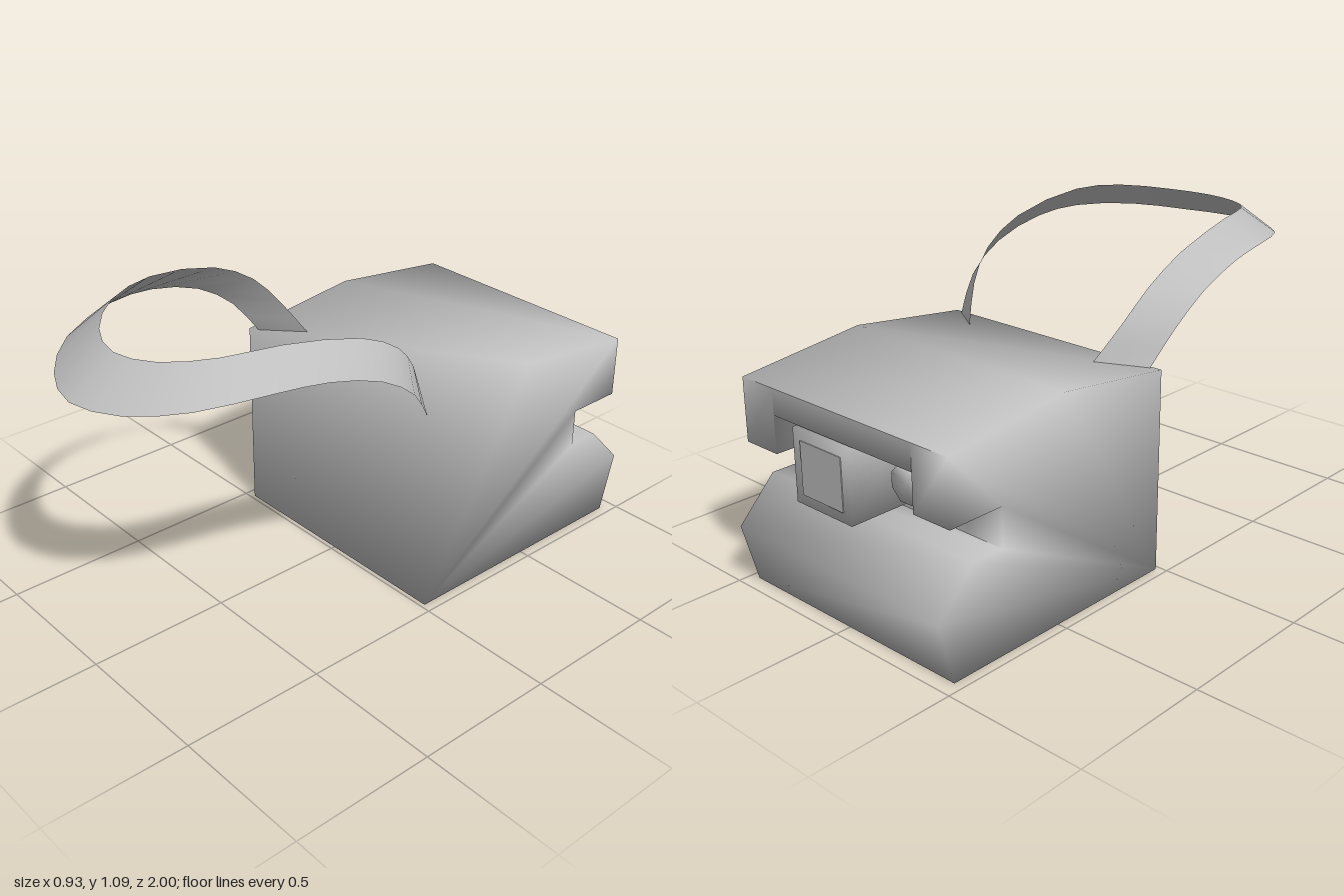
import * as THREE from 'three';
import { mergeVertices } from 'three/addons/utils/BufferGeometryUtils.js';

const grey = new THREE.MeshStandardMaterial({ color: 0xbfbfbf, side: THREE.DoubleSide });
grey.name = 'plain grey';

// Weld shared corners so that shading runs smoothly across the edges
function smooth(geometry) {
  geometry.deleteAttribute('uv');
  geometry.deleteAttribute('normal');
  const welded = mergeVertices(geometry, 1e-4);
  welded.computeVertexNormals();
  return welded;
}

function addMesh(parent, name, geometry, x = 0, y = 0, z = 0) {
  const mesh = new THREE.Mesh(geometry, grey);
  mesh.name = name;
  mesh.position.set(x, y, z);
  parent.add(mesh);
  return mesh;
}

// Case: side profile [z, y] swept across x, with a raised opening at the back
function bodyGeometry() {
  const half = 0.465, open = 0.315;
  const side = [
    [-0.015, 0], [-0.015, 0.71], [-0.475, 0.765], [-0.945, 0.71], [-0.945, 0.49],
    [-0.74, 0.49], [-0.74, 0.355], [-0.86, 0.355], [-1, 0.21], [-0.945, 0],
  ];
  const middle = side.map(([z, y], i) => [z, i === 4 || i === 5 ? 0.62 : y]);
  const section = (profile, x) => profile.map(([z, y]) => [x, y, z]);
  const sections = [
    section(side, -half), section(side, -open), section(middle, -open),
    section(middle, open), section(side, open), section(side, half),
  ];
  const first = sections[0], last = sections[5];
  const pos = [];
  const tri = (a, b, c) => pos.push(...a, ...b, ...c);
  const strip = (p, q, i) => {
    const j = (i + 1) % side.length;
    tri(p[i], q[i], q[j]);
    tri(p[i], q[j], p[j]);
  };
  for (let i = 0; i < side.length; i++) {
    if (i < 3 || i > 5) {
      strip(first, last, i);
      continue;
    }
    for (let s = 0; s < 5; s++) {
      const flatStep = s === 1 || s === 3;
      if (!flatStep || i === 4) strip(sections[s], sections[s + 1], i);
    }
  }
  // Side walls fan out from the lower front corner
  const caps = [[0, 1, 2], [0, 2, 3], [0, 3, 5], [3, 4, 5], [0, 5, 6], [0, 6, 7], [0, 7, 8], [0, 8, 9]];
  for (const [a, b, c] of caps) {
    tri(first[a], first[b], first[c]);
    tri(last[a], last[c], last[b]);
  }
  const g = new THREE.BufferGeometry();
  g.setAttribute('position', new THREE.Float32BufferAttribute(pos, 3));
  return smooth(g);
}

// Strap: ribbon between two mirrored edge curves
function strapGeometry() {
  const edge = (points) => {
    const right = points.map((p) => new THREE.Vector3(...p));
    const left = right.slice(0, -1).reverse().map((p) => new THREE.Vector3(-p.x, p.y, p.z));
    return new THREE.CatmullRomCurve3([...right, ...left]);
  };
  const outer = edge([
    [0.43, 0.71, -0.03], [0.46, 0.83, 0.06], [0.465, 0.925, 0.2], [0.45, 0.985, 0.4],
    [0.42, 0.998, 0.58], [0.33, 0.98, 0.8], [0.18, 0.957, 0.94], [0, 0.95, 1],
  ]);
  const inner = edge([
    [0.28, 0.72, -0.135], [0.335, 0.845, -0.055], [0.362, 0.95, 0.04], [0.366, 1.035, 0.2],
    [0.335, 1.09, 0.48], [0.275, 1.085, 0.66], [0.15, 1.067, 0.79], [0, 1.06, 0.84],
  ]);
  const n = 28, pos = [], index = [];
  for (let i = 0; i <= n; i++) {
    pos.push(...outer.getPoint(i / n).toArray(), ...inner.getPoint(i / n).toArray());
    if (i < n) {
      const a = i * 2;
      index.push(a, a + 1, a + 3, a, a + 3, a + 2);
    }
  }
  const g = new THREE.BufferGeometry();
  g.setAttribute('position', new THREE.Float32BufferAttribute(pos, 3));
  g.setIndex(index);
  g.computeVertexNormals();
  return g;
}

export function createModel() {
  const model = new THREE.Group();
  model.name = 'boxCaseWithStrap';

  addMesh(model, 'body', bodyGeometry());
  addMesh(model, 'strap', strapGeometry());

  // Square block inside the back opening, with a flat face plate
  addMesh(model, 'backBlock', smooth(new THREE.BoxGeometry(0.26, 0.25, 0.215)), 0.08, 0.49, -0.8475);
  addMesh(model, 'backBlockFace', new THREE.BoxGeometry(0.19, 0.18, 0.004), 0.08, 0.49, -0.956);

  // Small stepped eyepiece beside the block
  const eyepiece = new THREE.Group();
  eyepiece.name = 'eyepiece';
  eyepiece.position.set(-0.2, 0.52, 0);
  for (const [name, radius, depth] of [['eyepieceBase', 0.1, 0.08], ['eyepieceRim', 0.065, 0.13]]) {
    const g = new THREE.CylinderGeometry(radius, radius, depth, 8);
    g.rotateY(Math.PI / 8);
    g.rotateX(Math.PI / 2);
    addMesh(eyepiece, name, smooth(g), 0, 0, -0.74 - depth / 2);
  }
  model.add(eyepiece);

  return model;
}
